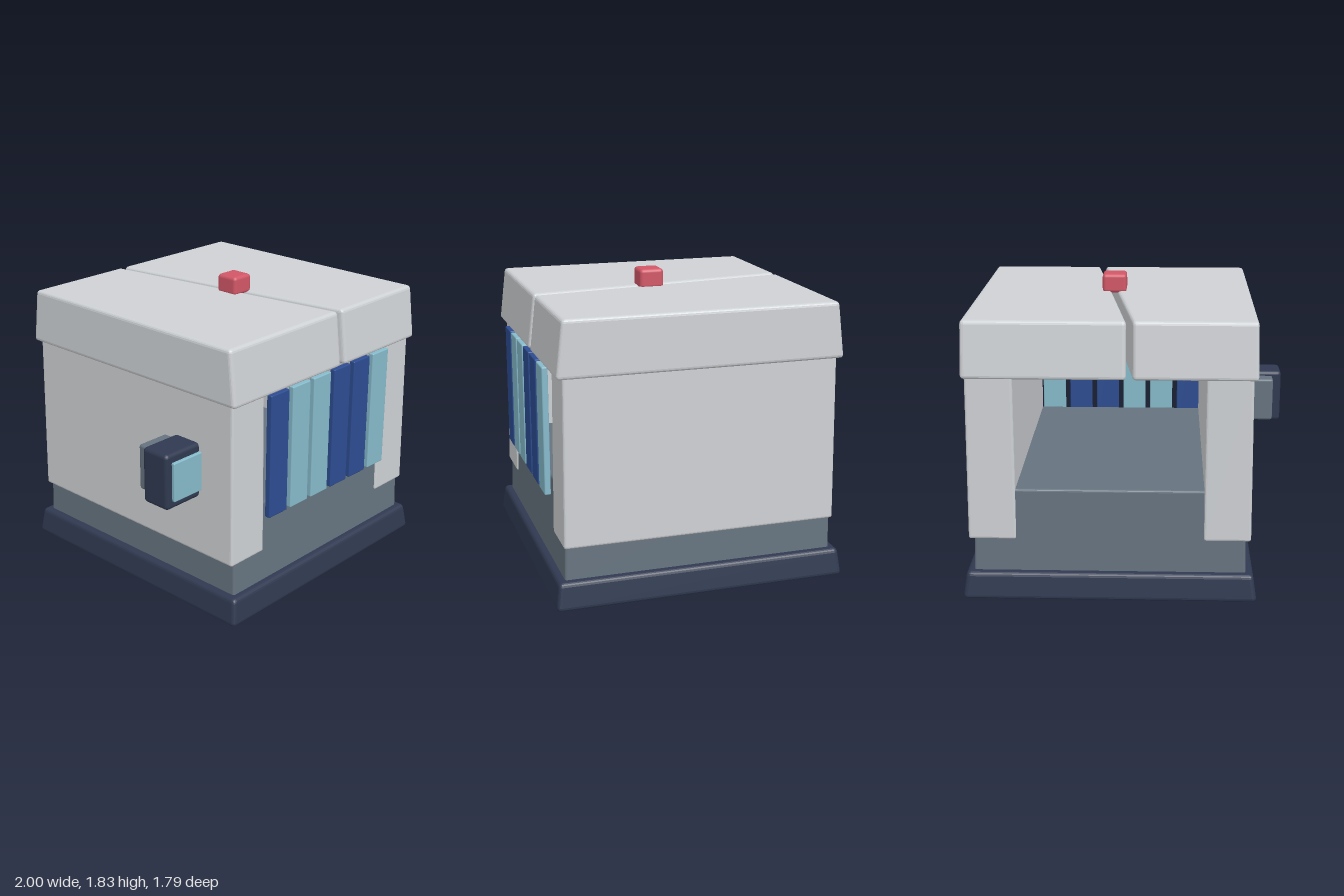
import * as THREE from 'three';
import { RoundedBoxGeometry } from 'three/addons/geometries/RoundedBoxGeometry.js';

const mat = (name, color) => new THREE.MeshStandardMaterial({ name, color });

export function createModel() {
  const group = new THREE.Group();
  const grey = mat('light grey', 0xced1d4);
  const slate = mat('slate', 0x66737f);
  const navy = mat('dark navy', 0x2f3950);
  const cyan = mat('pale blue', 0x86bacb);
  const blue = mat('royal blue', 0x2c4c91);
  const red = mat('red', 0xd25767);

  // Bevelled block from bounds; optional rule moves the vertices
  function block(name, material, [x0, x1], [y0, y1], [z0, z1], bevel, rule) {
    const geo = new RoundedBoxGeometry(x1 - x0, y1 - y0, z1 - z0, 2, bevel);
    geo.translate((x0 + x1) / 2, (y0 + y1) / 2, (z0 + z1) / 2);
    if (rule) {
      const p = geo.attributes.position;
      const v = new THREE.Vector3();
      for (let i = 0; i < p.count; i++) {
        v.fromBufferAttribute(p, i);
        rule(v, (v.y - y0) / (y1 - y0));
        p.setXYZ(i, v.x, v.y, v.z);
      }
      geo.computeVertexNormals();
    }
    const mesh = new THREE.Mesh(geo, material);
    mesh.name = name;
    group.add(mesh);
    return mesh;
  }

  // Narrows a block towards its top, around the building's axis
  const cx = 0.11;
  const taper = (dx, dz) => (v, t) => {
    v.x -= Math.sign(v.x - cx) * dx * t;
    v.z -= Math.sign(v.z) * dz * t;
  };

  // Plinth and lower body
  block('base', navy, [-0.78, 1.0], [0, 0.17], [-0.9, 0.9], 0.025, taper(0.025, 0.022));
  block('lowerBody', slate, [-0.712, 0.932], [0.15, 0.69], [-0.835, 0.835], 0.015, taper(0.015, 0.01));

  // Side walls, open between them at the front and back
  const wallTaper = (v, t) => {
    v.x -= Math.abs(v.x - cx) > 0.7 ? Math.sign(v.x - cx) * 0.01 * t : 0;
    v.z -= Math.sign(v.z) * 0.012 * t;
  };
  block('rightWall', grey, [-0.74, -0.455], [0.372, 1.4], [-0.838, 0.842], 0.015, wallTaper);
  block('leftWall', grey, [0.67, 0.96], [0.372, 1.4], [-0.838, 0.842], 0.015, wallTaper);

  // Two roof halves parted by a slanting gap
  const splitX = z => 0.107 + 0.137 * z;
  for (const side of [-1, 1]) {
    const outer = side < 0 ? -0.755 : 0.968;
    const inner = cx + side * 0.018;
    const bounds = side < 0 ? [outer, inner] : [inner, outer];
    block(side < 0 ? 'rightRoof' : 'leftRoof', grey, bounds, [1.378, 1.718], [-0.868, 0.868], 0.022, (v, t) => {
      const u = (v.x - outer) / (inner - outer);
      v.x += u * (splitX(v.z) - cx) - side * 0.006 * t * (1 - u);
      v.z -= Math.sign(v.z) * 0.04 * t;
    });
  }

  // Beacon on the roof gap
  block('roofBeacon', red, [0.034, 0.186], [1.705, 1.825], [0, 0.152], 0.022);

  // Hanging curtain strips across the front
  [blue, cyan, cyan, blue, blue, cyan].forEach((m, i) => {
    const x = -0.379 + i * 0.193;
    block('curtainStrip' + (i + 1), m, [x - 0.08, x + 0.08], [0.605, 1.382], [0.848, 0.886], 0.007);
  });

  // Control box on the right wall
  block('controlBox', navy, [-1.0, -0.72], [0.742, 1.09], [0.38, 0.577], 0.025);
  block('controlScreen', cyan, [-0.957, -0.72], [0.793, 1.037], [0.56, 0.597], 0.007);
  block('controlBoxBack', slate, [-0.94, -0.72], [0.775, 1.06], [0.288, 0.4], 0.015);

  return group;
}
